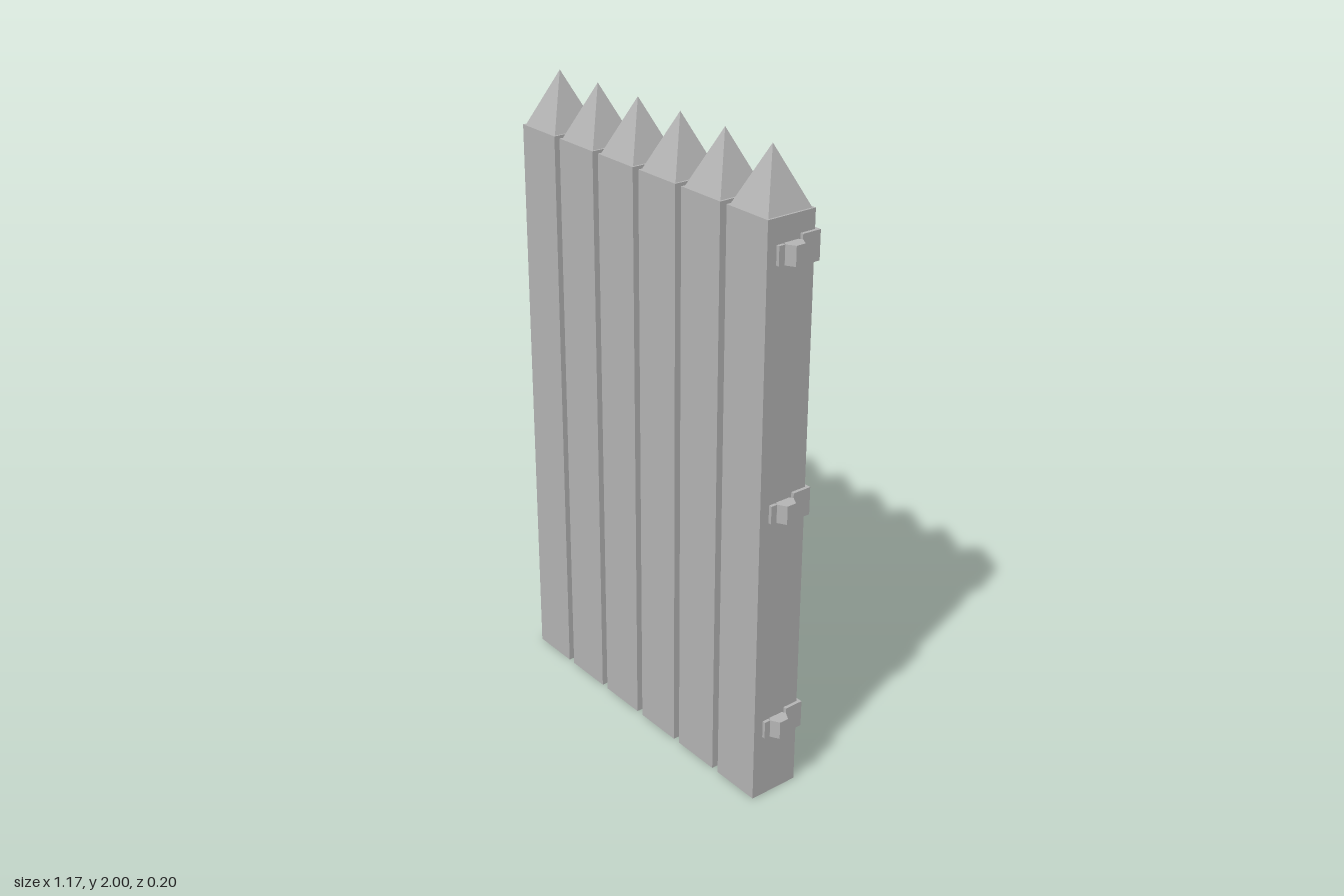
import * as THREE from 'three';

export function createModel() {
  const group = new THREE.Group();
  const wood = new THREE.MeshStandardMaterial({ color: 0xb4b4b4, flatShading: true, side: THREE.DoubleSide });
  wood.name = 'grey wood';

  const add = (name, geometry, x, y, z) => {
    const mesh = new THREE.Mesh(geometry, wood);
    mesh.name = name;
    mesh.position.set(x, y, z);
    group.add(mesh);
    return mesh;
  };

  const postZ = 0.0175, postTop = 1.83, postWidth = 0.165;

  // Post: box with an open underside (the fourth face is left out)
  const postGeo = new THREE.BoxGeometry(postWidth, postTop, postWidth);
  const index = Array.from(postGeo.index.array);
  index.splice(18, 6);
  postGeo.setIndex(index);
  postGeo.clearGroups();

  // Four-sided point, slightly narrower than the post
  const tipGeo = new THREE.ConeGeometry(0.152 / Math.SQRT2, 2 - postTop, 4, 1, true);
  tipGeo.rotateY(Math.PI / 4);

  // Row of six pointed posts
  for (let i = 0; i < 6; i++) {
    const x = -0.493 + i * 0.191;
    add('post', postGeo, x, postTop / 2, postZ);
    add('postTip', tipGeo, x, (2 + postTop) / 2, postZ);
  }

  // Three cross rails, each with a hinge strap and a six-sided knuckle
  const railGeo = new THREE.BoxGeometry(1.14, 0.087, 0.062);
  const strapGeo = new THREE.BoxGeometry(0.205, 0.056, 0.022);
  const knuckleGeo = new THREE.CylinderGeometry(0.031, 0.031, 0.058, 6);
  knuckleGeo.rotateY(0);
  for (const y of [0.24, 0.965, 1.728]) {
    add('rail', railGeo, -0.015, y, -0.045);
    add('hingeStrap', strapGeo, 0.4525, y, 0.057);
    add('hingeKnuckle', knuckleGeo, 0.556, y, postZ);
  }

  // Diagonal brace across the back
  const brace = add('brace', new THREE.BoxGeometry(1.623, 0.032, 0.034), -0.015, 0.985, -0.083);
  brace.rotation.z = -1.033;

  return group;
}
